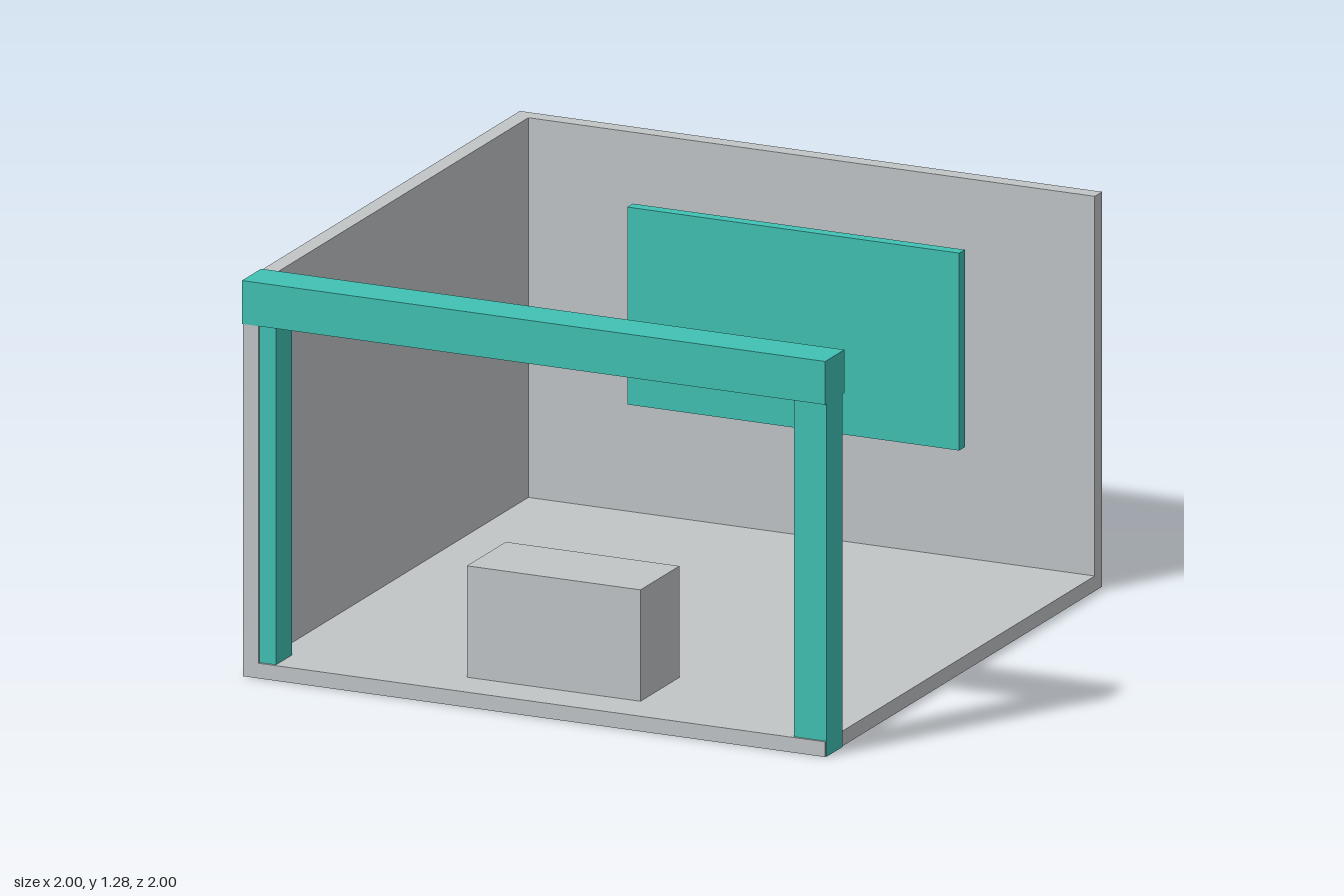
import * as THREE from 'three';

export function createModel() {
  const model = new THREE.Group();
  model.name = 'exhibitionBooth';

  const material = (name, color) => {
    const m = new THREE.MeshStandardMaterial({ color });
    m.name = name;
    return m;
  };
  const grey = material('lightGrey', 0xc2c5c7);
  const teal = material('teal', 0x40c1b3);
  const slate = material('slateBlue', 0x4a6a82);

  // Box given by its extents along each axis
  const box = (name, mat, [x0, x1], [y0, y1], [z0, z1]) => {
    const mesh = new THREE.Mesh(new THREE.BoxGeometry(x1 - x0, y1 - y0, z1 - z0), mat);
    mesh.position.set((x0 + x1) / 2, (y0 + y1) / 2, (z0 + z1) / 2);
    mesh.name = name;
    model.add(mesh);
  };

  // Shell: floor, back wall and one side wall
  const W = 0.996, H = 1.277, D = 0.998;
  box('floor', grey, [-W, W], [0.001, 0.05], [-D, D]);
  box('backWall', grey, [-W, W], [0.001, H], [-D, -0.945]);
  box('rightWall', grey, [-W, -0.942], [0.001, H], [-D, D]);

  // Front portal: two posts (one set into the wall) and a beam
  box('rightPost', teal, [-0.99, -0.886], [0, 1.15], [0.875, 0.99]);
  box('leftPost', teal, [0.886, 0.998], [0, 1.15], [0.875, 0.99]);
  box('frontBeam', teal, [-0.998, 0.998], [1.14, 1.28], [0.862, 1]);

  // Display panel with its backing frame
  box('displayPanel', teal, [-0.568, 0.568], [0.42, 1.058], [-0.91, -0.87]);
  box('panelBacking', slate, [-0.549, 0.549], [0.455, 1.024], [-0.932, -0.91]);

  // Counter near the front
  box('counter', grey, [-0.297, 0.297], [0.05, 0.41], [0.575, 0.855]);

  return model;
}
